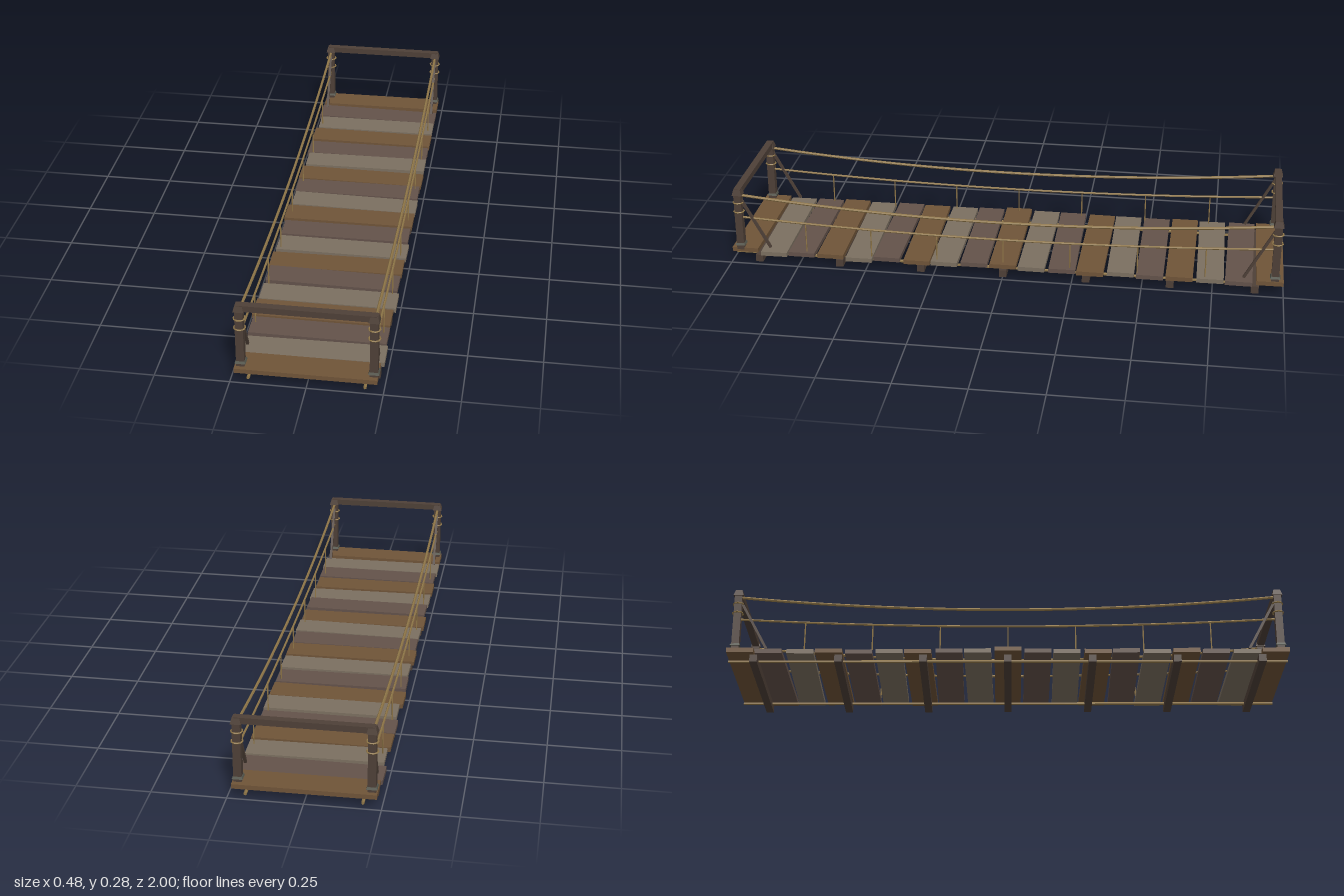
import * as THREE from 'three';

const mat = (color) => new THREE.MeshStandardMaterial({ color, flatShading: true });

export function createModel() {
  const bridge = new THREE.Group();
  const darkWood = mat(0x4e4037);
  const rope = mat(0x8f7648);
  const iron = mat(0x56584e);
  const plankMats = [mat(0x6f5438), mat(0x63524a), mat(0x7b6f60)];

  const add = (name, geometry, material, x = 0, y = 0, z = 0) => {
    const mesh = new THREE.Mesh(geometry, material);
    mesh.name = name;
    mesh.position.set(x, y, z);
    bridge.add(mesh);
    return mesh;
  };

  // Straight round bar between two points
  const bar = (name, a, b, radius, material, sides = 6) => {
    const dir = b.clone().sub(a);
    const mesh = add(name, new THREE.CylinderGeometry(radius, radius, dir.length(), sides), material);
    mesh.position.copy(a).add(b).multiplyScalar(0.5);
    mesh.quaternion.setFromUnitVectors(new THREE.Vector3(0, 1, 0), dir.normalize());
    return mesh;
  };

  // Square frustum, used for post caps and feet
  const frustum = (topWidth, bottomWidth, height) =>
    new THREE.CylinderGeometry(topWidth / Math.SQRT2, bottomWidth / Math.SQRT2, height, 4).rotateY(Math.PI / 4);

  // Sagging rope along z, following a parabola
  const sag = (z, middle, end) => middle + (end - middle) * (z / 0.97) ** 2;
  const saggingRope = (name, x, middle, end, radius) => {
    const points = [];
    for (let i = 0; i <= 16; i++) {
      const z = -0.97 + (1.94 * i) / 16;
      points.push(new THREE.Vector3(x, sag(z, middle, end), z));
    }
    add(name, new THREE.TubeGeometry(new THREE.CatmullRomCurve3(points), 32, radius, 6), rope);
  };

  // Deck planks, slightly uneven in height, angle and length
  const heights = [0.044, 0.037, 0.04, 0.04, 0.037, 0.042, 0.037, 0.04, 0.042, 0.045];
  for (let i = 0; i < 19; i++) {
    const z = -0.95 + (i * 1.9) / 18;
    const end = i === 0 || i === 18;
    const plank = add('plank', new THREE.BoxGeometry(0.47 + 0.006 * Math.sin(i * 2.3), 0.016, 0.096),
      plankMats[i % 3], 0.003 * Math.sin(i * 4.1), heights[Math.min(i, 18 - i)], z);
    plank.rotation.y = (end ? 0.004 : 0.012) * Math.sin(i * 3.7 + 1);
    plank.rotation.z = 0.004 * Math.sin(i * 5.3);
  }

  // Cross beams under the deck
  for (let i = -3; i <= 3; i++) {
    add('crossBeam', new THREE.BoxGeometry(0.46, 0.027, 0.027), darkWood, 0, 0.0135, i * 0.3);
  }

  for (const side of [-1, 1]) {
    const x = side * 0.217;

    // Support rope running through the cross beams
    bar('deckRope', new THREE.Vector3(side * 0.19, 0.018, -0.995),
      new THREE.Vector3(side * 0.19, 0.018, 0.995), 0.0055, rope);

    // Hand rope, lower rope and hangers
    saggingRope('handRope', x, 0.21, 0.26, 0.005);
    saggingRope('lowerRope', x, 0.143, 0.172, 0.004);
    for (let i = -3; i <= 3; i++) {
      const z = i * 0.241;
      bar('hanger', new THREE.Vector3(x, 0.042, z),
        new THREE.Vector3(x, sag(z, 0.143, 0.172), z), 0.0025, rope, 5);
    }

    // Posts with cap, foot, lashings and brace
    for (const end of [-1, 1]) {
      const z = end * 0.968;
      add('post', new THREE.BoxGeometry(0.027, 0.225, 0.027), darkWood, x, 0.1575, z);
      add('postCap', frustum(0.024, 0.036, 0.022), darkWood, x, 0.273, z);
      add('postFoot', frustum(0.03, 0.036, 0.008), iron, x, 0.067, z);
      for (const y of [0.195, 0.231]) {
        add('lashing', new THREE.TorusGeometry(0.0185, 0.003, 5, 10).rotateX(Math.PI / 2), rope, x, y, z);
      }
      const brace = bar('brace', new THREE.Vector3(x, 0.245, end * 0.96),
        new THREE.Vector3(x, 0.055, end * 0.858), 0.0065, darkWood, 4);
      brace.rotateY(Math.PI / 4);
    }
  }

  // Top beams of the two gates
  for (const end of [-1, 1]) {
    add('topBeam', new THREE.BoxGeometry(0.45, 0.022, 0.025), darkWood, 0, 0.274, end * 0.968);
  }

  return bridge;
}
